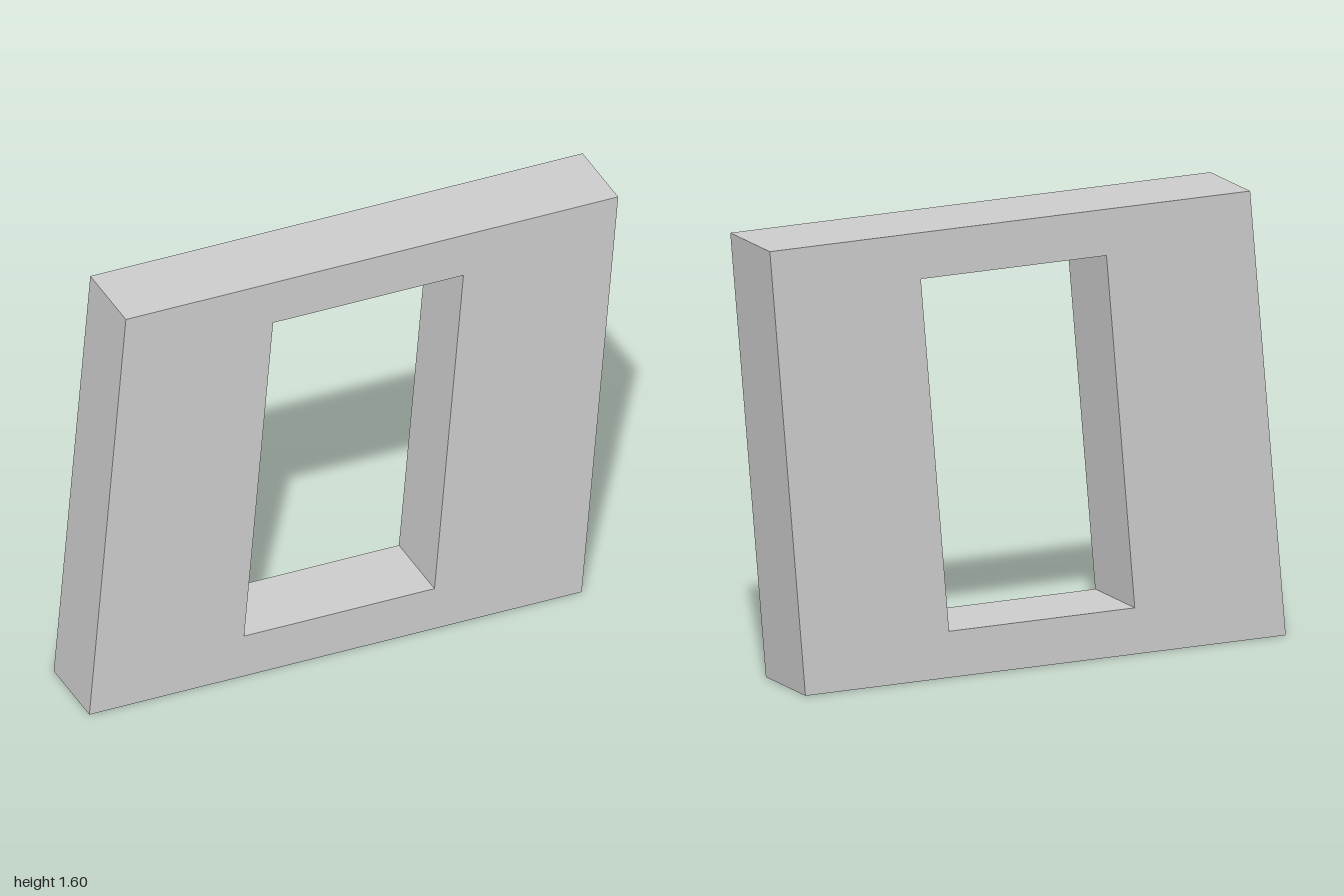
import * as THREE from 'three';

const HEIGHT = 1.595;
const DEPTH = 0.298;
const LEAN = 0.0866; // sideways shift per unit of height

// Four corners of a leaning parallelogram, counter-clockwise
function leaningCorners(halfWidth, bottom, top) {
  const shift = (y) => (y - HEIGHT / 2) * LEAN;
  return [
    new THREE.Vector2(shift(bottom) - halfWidth, bottom),
    new THREE.Vector2(shift(bottom) + halfWidth, bottom),
    new THREE.Vector2(shift(top) + halfWidth, top),
    new THREE.Vector2(shift(top) - halfWidth, top),
  ];
}

export function createModel() {
  const group = new THREE.Group();
  group.name = 'leaningFrame';

  // Slab with a window cut right through it
  const outline = new THREE.Shape(leaningCorners(0.931, 0, HEIGHT));
  outline.holes.push(new THREE.Path(leaningCorners(0.36, 0.165, 1.43).reverse()));

  const geometry = new THREE.ExtrudeGeometry(outline, { depth: DEPTH, bevelEnabled: false });
  geometry.translate(0, 0, -DEPTH / 2);

  const frame = new THREE.Mesh(
    geometry,
    new THREE.MeshStandardMaterial({ color: 0xcccccc, flatShading: true })
  );
  frame.name = 'frame';
  group.add(frame);
  return group;
}
